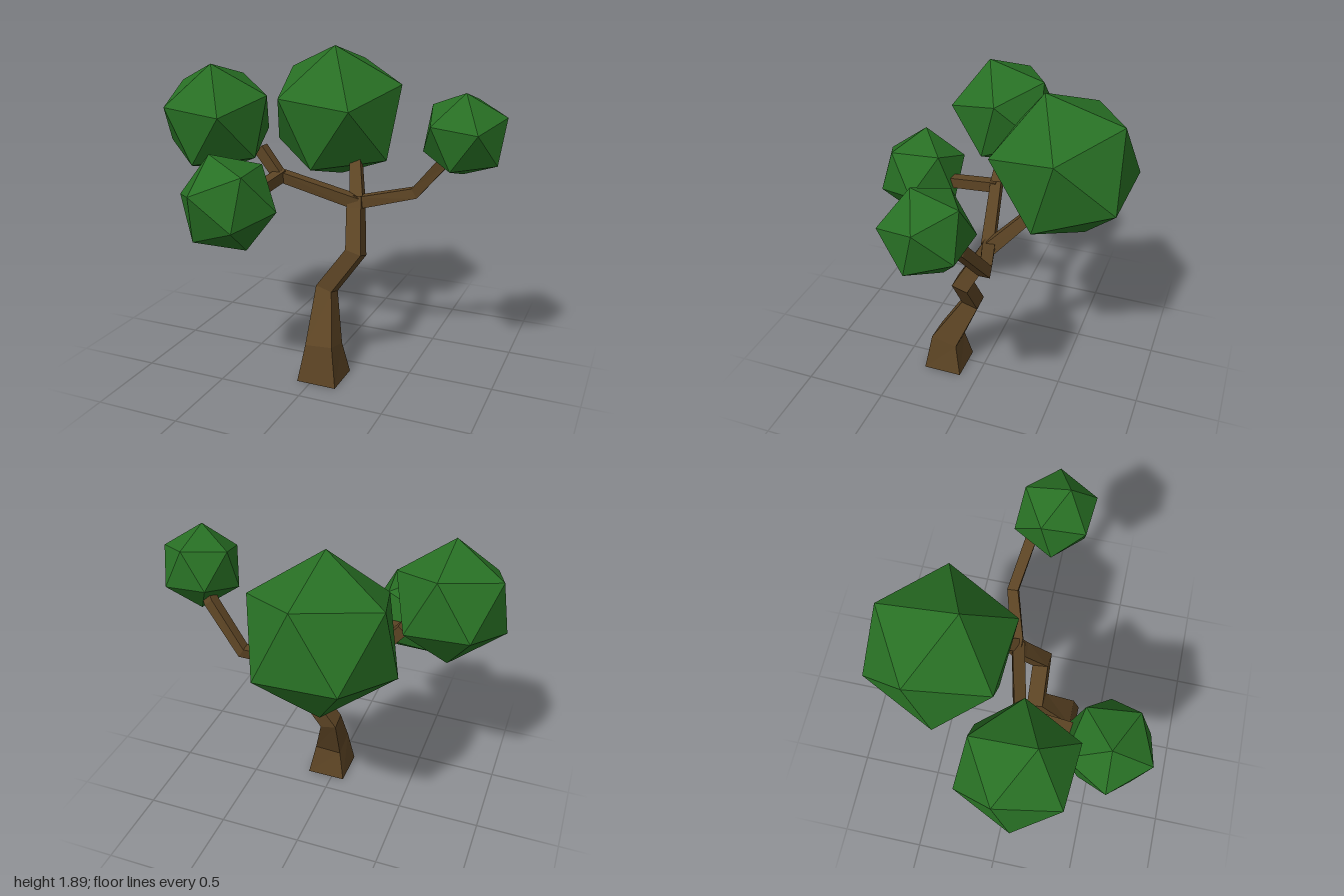
import * as THREE from 'three';

const bark = new THREE.MeshStandardMaterial({ color: 0x5c4424, flatShading: true });
const leaf = new THREE.MeshStandardMaterial({ color: 0x287024, flatShading: true });
const V = (x, y, z) => new THREE.Vector3(x, y, z);

// Square limb swept through points [x, y, z, half width]; one side follows the "side" axis
function limb(name, points, side) {
  const centres = points.map(([x, y, z]) => V(x, y, z));
  const last = points.length - 1;
  const verts = [], index = [];
  points.forEach(([, , , half], i) => {
    const t = V(0, 0, 0);
    if (i > 0) t.add(centres[i].clone().sub(centres[i - 1]).normalize());
    if (i < last) t.add(centres[i + 1].clone().sub(centres[i]).normalize());
    t.normalize();
    const a = side.clone().addScaledVector(t, -side.dot(t)).normalize();
    const b = t.clone().cross(a);
    for (const [p, q] of [[1, 1], [-1, 1], [-1, -1], [1, -1]]) {
      const corner = centres[i].clone().addScaledVector(a, p * half).addScaledVector(b, q * half);
      verts.push(corner.x, corner.y, corner.z);
    }
    if (i === last) return;
    for (let k = 0; k < 4; k++) {
      const c = i * 4 + k, d = i * 4 + (k + 1) % 4;
      index.push(c, d, d + 4, c, d + 4, c + 4);
    }
  });
  const e = last * 4;
  index.push(0, 2, 1, 0, 3, 2, e, e + 1, e + 2, e, e + 2, e + 3); // end caps
  const indexed = new THREE.BufferGeometry();
  indexed.setAttribute('position', new THREE.Float32BufferAttribute(verts, 3));
  indexed.setIndex(index);
  const geometry = indexed.toNonIndexed();
  geometry.computeVertexNormals();
  const mesh = new THREE.Mesh(geometry, bark);
  mesh.name = name;
  return mesh;
}

// Icosahedron turned so that two neighbouring corners point along u and v
function foliage(name, centre, radius, u, v) {
  const a = u.clone().normalize(), b = v.clone().normalize();
  const y = a.clone().add(b).normalize();
  const x = b.clone().sub(a).normalize();
  const z = x.clone().cross(y).normalize();
  const mesh = new THREE.Mesh(new THREE.IcosahedronGeometry(radius, 0), leaf);
  mesh.quaternion.setFromRotationMatrix(new THREE.Matrix4().makeBasis(x, y, z));
  mesh.position.copy(centre);
  mesh.name = name;
  return mesh;
}

export function createModel() {
  const tree = new THREE.Group();
  tree.name = 'tree';
  const alongX = V(1, 0, 0), alongZ = V(0, 0, 1);

  // Crooked trunk and its branches
  tree.add(
    limb('trunk', [
      [0.04, 0, 0.23, 0.12], [0.04, 0.21, 0.23, 0.083], [-0.005, 0.5, 0.077, 0.052],
      [0.175, 0.75, 0.07, 0.05], [0.125, 0.97, -0.055, 0.045], [0.12, 1.04, -0.085, 0.04],
    ], alongX),
    limb('leftBranch', [
      [0.12, 1.01, -0.07, 0.036], [0.45, 1.08, -0.17, 0.032], [0.66, 1.33, -0.11, 0.032],
      [0.74, 1.42, -0.04, 0.03],
    ], alongZ),
    limb('backBranch', [
      [0.13, 1.0, -0.07, 0.04], [0.05, 1.18, -0.25, 0.034], [0.02, 1.25, -0.31, 0.032],
    ], alongX),
    limb('rightBranch', [
      [0.13, 1.01, -0.07, 0.036], [-0.33, 1.16, 0.04, 0.033], [-0.45, 1.31, 0.035, 0.033],
    ], alongZ),
    limb('frontBranch', [
      [-0.32, 1.155, 0.03, 0.033], [-0.34, 1.12, 0.36, 0.032],
    ], alongX),
  );

  // Faceted foliage clumps
  const u = V(0.03, 0.425, 0.125), v = V(0.05, 0.305, -0.32);
  tree.add(
    foliage('backFoliage', V(-0.142, 1.465, -0.43), 0.445, u, v),
    foliage('rightFoliage', V(-0.688, 1.483, 0.106), 0.346, u, v),
    foliage('leftFoliage', V(0.77, 1.485, 0.01), 0.247, u, v),
    foliage('frontFoliage', V(-0.385, 1.12, 0.552), 0.283, V(-0.1, 0.263, 0.012), V(-0.28, 0.03, 0.03)),
  );
  return tree;
}
